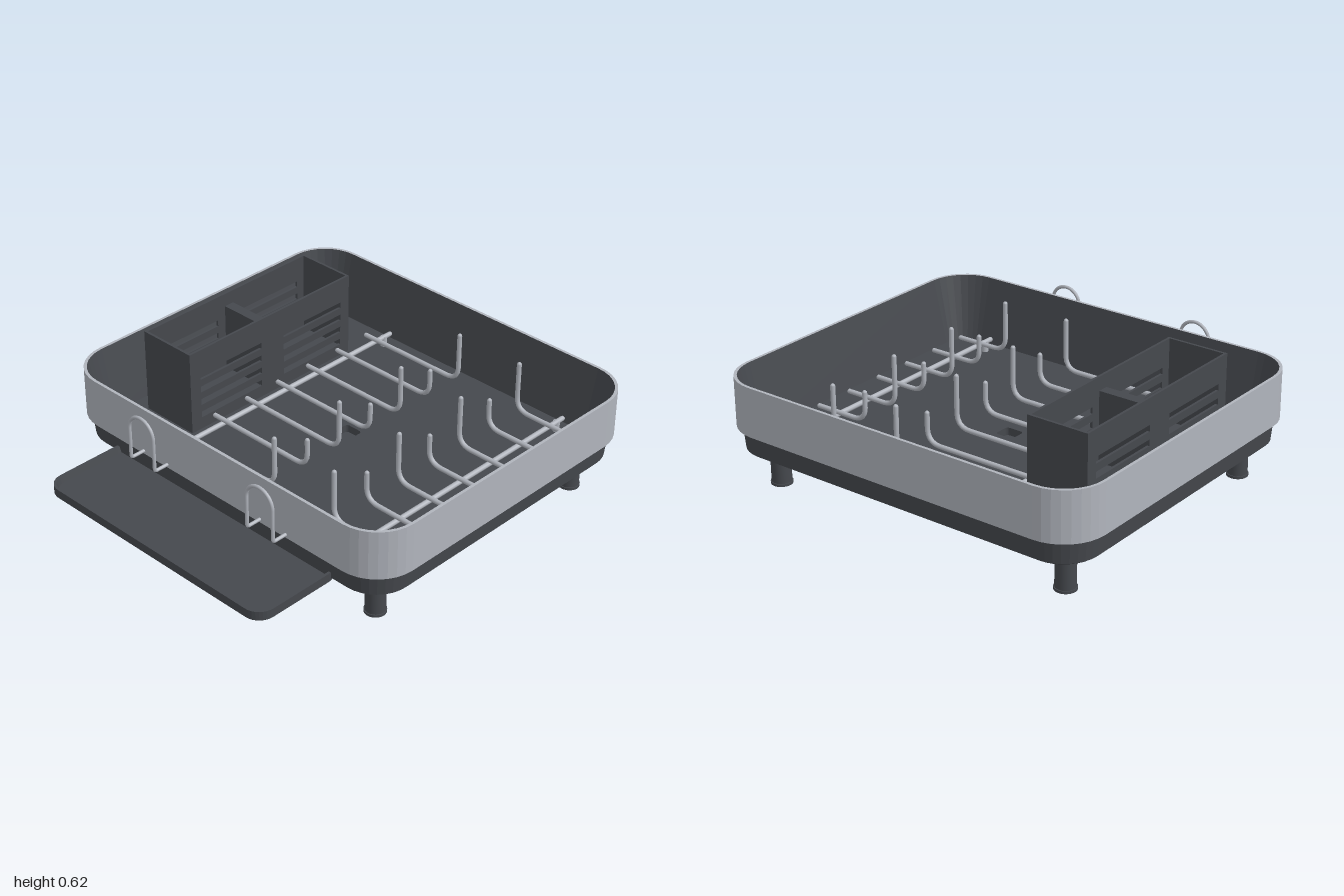
import * as THREE from 'three';

const dark = new THREE.MeshStandardMaterial({ color: 0x45484d });
dark.name = 'charcoal plastic';
const steel = new THREE.MeshStandardMaterial({ color: 0xb0b4bc });
steel.name = 'brushed steel';

function add(parent, name, geo, mat, x = 0, y = 0, z = 0) {
  const m = new THREE.Mesh(geo, mat);
  m.name = name;
  m.position.set(x, y, z);
  parent.add(m);
  return m;
}

// Rounded rectangle ring in the xz plane
function ring([hw, hd, r, y]) {
  const pts = [], n = 8;
  for (let c = 0; c < 4; c++) {
    const sx = c === 0 || c === 3 ? 1 : -1, sz = c < 2 ? 1 : -1;
    for (let i = 0; i <= n; i++) {
      const a = (c + i / n) * Math.PI / 2;
      pts.push([sx * (hw - r) + r * Math.cos(a), y, sz * (hd - r) + r * Math.sin(a)]);
    }
  }
  return pts;
}

// Skin through a sequence of rounded rectangles, with optional end caps
function loft(sections, capStart, capEnd) {
  const rings = sections.map(ring), pos = [];
  const tri = (a, b, c) => pos.push(...a, ...b, ...c);
  const n = rings[0].length;
  for (let k = 0; k < rings.length; k++) {
    const lo = rings[k], up = rings[k + 1], mid = [0, sections[k][3], 0];
    for (let i = 0; i < n; i++) {
      const j = (i + 1) % n;
      if (up) {
        tri(lo[i], up[i], lo[j]);
        tri(lo[j], up[i], up[j]);
      }
      if (k === 0 && capStart) tri(mid, lo[i], lo[j]);
      if (!up && capEnd) tri(mid, lo[j], lo[i]);
    }
  }
  const g = new THREE.BufferGeometry();
  g.setAttribute('position', new THREE.Float32BufferAttribute(pos, 3));
  g.computeVertexNormals();
  return g;
}

// Sections made by insetting one rounded rectangle: [inset, y]
const inset = (hw, hd, r, list) => list.map(([d, y]) => [hw - d, hd - d, r - d, y]);

// Round wire along a path whose corners are filleted, with rounded tips
function wire(parent, name, points, radius, fillet) {
  const p = points.map(q => new THREE.Vector3(...q));
  const path = new THREE.CurvePath();
  let from = p[0];
  for (let i = 1; i < p.length - 1; i++) {
    const a = p[i].clone().add(p[i - 1].clone().sub(p[i]).setLength(fillet));
    const b = p[i].clone().add(p[i + 1].clone().sub(p[i]).setLength(fillet));
    path.add(new THREE.LineCurve3(from, a));
    path.add(new THREE.QuadraticBezierCurve3(a, p[i], b));
    from = b;
  }
  path.add(new THREE.LineCurve3(from, p[p.length - 1]));
  add(parent, name, new THREE.TubeGeometry(path, 36, radius, 8), steel);
  for (const e of [p[0], p[p.length - 1]])
    add(parent, name + 'Tip', new THREE.SphereGeometry(radius, 8, 6), steel, e.x, e.y, e.z);
}

function makeBasin() {
  const g = new THREE.Group();
  g.name = 'basin';
  g.position.z = -0.185;
  const s = list => inset(0.945, 0.815, 0.2, list);
  add(g, 'lowerShell', loft(s([[0.045, 0.18], [0.035, 0.187], [0.025, 0.292]]), true), dark);
  add(g, 'steelBand', loft(s([[0.04, 0.29], [0, 0.29], [0, 0.52], [0.014, 0.52]])), steel);
  // inner wall, floor and sunken square drain
  add(g, 'innerTub', loft([...s([[0.014, 0.52], [0.085, 0.22]]),
    [0.045, 0.04, 0.015, 0.22], [0.045, 0.04, 0.015, 0.184]], false, true), dark);
  // drain outlet under the basin
  add(g, 'drainOutlet', loft(inset(0.06, 0.06, 0.02, [[0, 0.13], [0, 0.182]]), true), dark);
  for (const x of [-0.765, 0.765]) for (const z of [-0.625, 0.635]) {
    add(g, 'leg', new THREE.CylinderGeometry(0.045, 0.045, 0.18, 24), dark, x, 0.095, z);
    add(g, 'foot', new THREE.CylinderGeometry(0.049, 0.049, 0.012, 24), dark, x, 0.006, z);
  }
  return g;
}

function makeCaddy() {
  const g = new THREE.Group();
  g.name = 'cutleryCaddy';
  const y0 = 0.222, y1 = 0.625, z0 = -0.685, z1 = 0.31, t = 0.012;
  // long side walls with two banks of horizontal slots
  const wall = new THREE.Shape([[z0, y0], [z1, y0], [z1, y1], [z0, y1]].map(q => new THREE.Vector2(...q)));
  for (const [a, b] of [[-0.63, -0.26], [-0.12, 0.25]])
    for (let i = 0; i < 4; i++) {
      const y = 0.28 + i * 0.065;
      wall.holes.push(new THREE.Path([[a, y], [a, y + 0.03], [b, y + 0.03], [b, y]].map(q => new THREE.Vector2(...q))));
    }
  for (const x of [-0.48, -0.775 + t]) {
    const m = add(g, 'slottedWall', new THREE.ExtrudeGeometry(wall, { depth: t, bevelEnabled: false }), dark, x);
    m.rotation.y = -Math.PI / 2;
  }
  const cx = -0.6275, w = 0.295 - 2 * t, h = y1 - y0;
  for (const z of [z0 + t / 2, z1 - t / 2])
    add(g, 'endWall', new THREE.BoxGeometry(w, h, t), dark, cx, y0 + h / 2, z);
  add(g, 'divider', new THREE.BoxGeometry(w, 0.34, 0.05), dark, cx, y0 + 0.17, -0.19);
  add(g, 'caddyFloor', new THREE.BoxGeometry(w, 0.015, z1 - z0 - 2 * t), dark, cx, y0 + 0.0075, (z0 + z1) / 2);
  return g;
}

function makeRack() {
  const g = new THREE.Group();
  g.name = 'plateRack';
  for (const x of [-0.395, 0.65]) {
    wire(g, 'rail', [[x, 0.265, -0.88], [x, 0.265, 0.5]], 0.012, 0);
    for (const z of [-0.84, 0.46])
      add(g, 'railFoot', new THREE.CylinderGeometry(0.016, 0.016, 0.05, 10), steel, x, 0.245, z);
  }
  // paired bent prongs, alternately tall and short
  for (let i = 0; i < 7; i++) {
    const z = -0.77 + i * 0.1945, top = i % 2 ? 0.42 : 0.52;
    for (const [x0, x1] of [[-0.445, 0.13], [0.745, 0.477]])
      wire(g, 'prong', [[x0, 0.285, z], [x1, 0.285, z], [x1, top, z]], 0.011, 0.07);
  }
  return g;
}

// Arched wire hook standing off the front wall
function makeHook(x) {
  const g = new THREE.Group();
  g.name = 'cupHook';
  g.position.x = x;
  const arch = new THREE.TorusGeometry(0.075, 0.008, 8, 24, Math.PI);
  add(g, 'hookArch', arch, steel, 0, 0.462, 0.702);
  for (const s of [-0.075, 0.075])
    wire(g, 'hookLeg', [[s, 0.462, 0.702], [s, 0.306, 0.702], [s, 0.306, 0.625]], 0.008, 0.012);
  return g;
}

export function createModel() {
  const model = new THREE.Group();
  model.name = 'dishRack';
  model.add(makeBasin(), makeCaddy(), makeRack(), makeHook(-0.36), makeHook(0.355));
  // slide-out drip tray
  add(model, 'dripTray', loft(inset(0.655, 0.235, 0.08,
    [[0.006, 0.168], [0, 0.174], [0, 0.215], [0.012, 0.215], [0.02, 0.186]]), true, true), dark, 0, 0, 0.765);
  // swivelling spout, sloping down to the front
  const spout = add(model, 'drainSpout', loft(inset(0.115, 0.535, 0.114,
    [[0, -0.02], [0, 0.02], [0.012, 0.02], [0.016, -0.008]]), true, true), dark, 0, 0.132, 0.215);
  spout.rotation.x = 0.037;
  return model;
}
